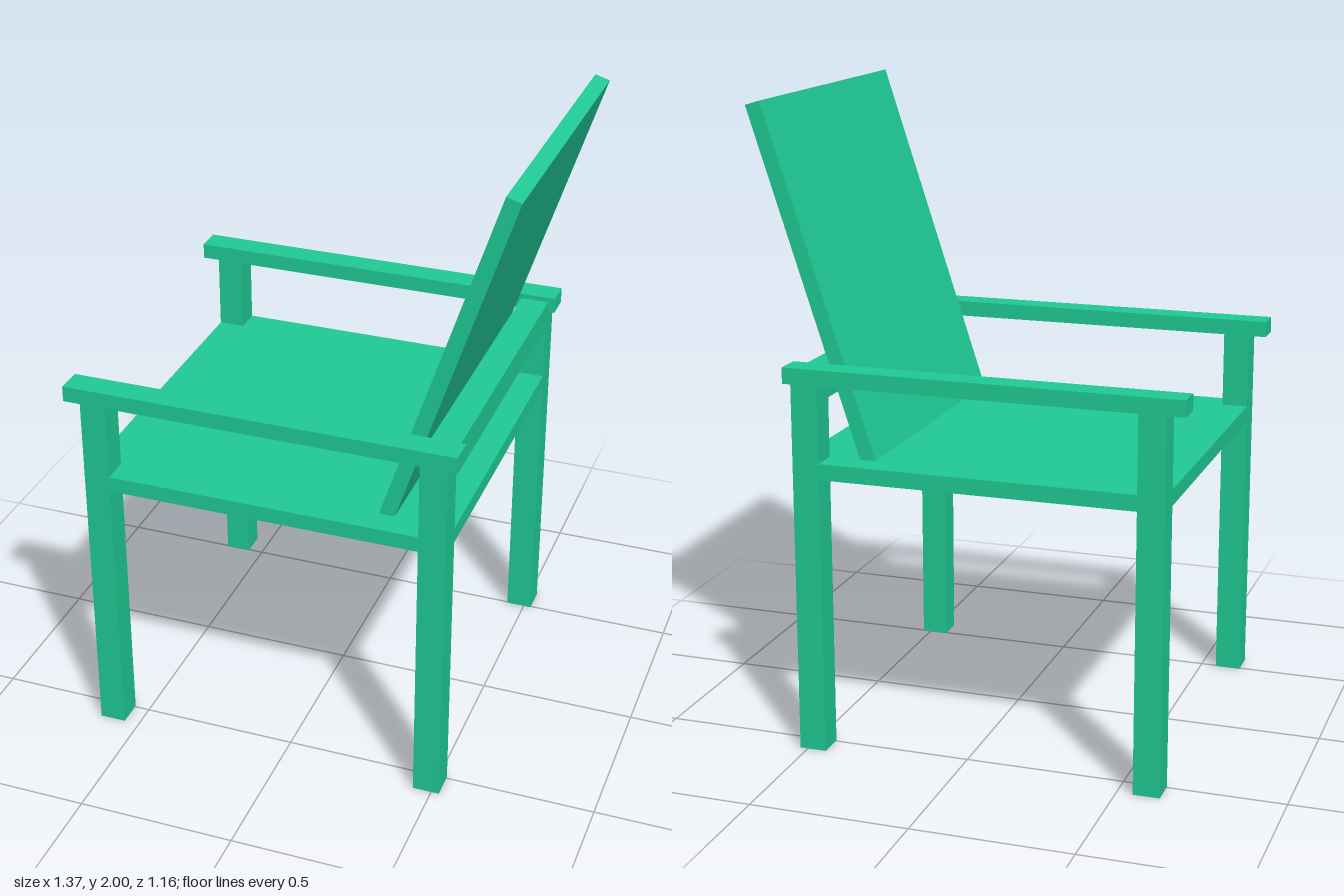
import * as THREE from 'three';

export function createModel() {
  const chair = new THREE.Group();
  chair.name = 'armchair';
  const material = new THREE.MeshStandardMaterial({ color: 0x20cc96, flatShading: true });

  function add(name, geometry) {
    const mesh = new THREE.Mesh(geometry, material);
    mesh.name = name;
    chair.add(mesh);
  }

  // Box given by its limits on each axis
  function slab(name, [x0, x1], [y0, y1], [z0, z1]) {
    const geometry = new THREE.BoxGeometry(x1 - x0, y1 - y0, z1 - z0);
    geometry.translate((x0 + x1) / 2, (y0 + y1) / 2, (z0 + z1) / 2);
    add(name, geometry);
  }

  const inner = 0.495, outer = 0.58;

  // Legs and armrests, mirrored across z
  for (const [side, z] of [['First', [inner, outer]], ['Second', [-outer, -inner]]]) {
    slab('seatFrontLeg' + side, [-0.633, -0.55], [0, 1.17], z);
    slab('seatBackLeg' + side, [0.44, 0.525], [0, 1.17], z);
    slab('armrest' + side, [-0.688, 0.552], [1.17, 1.22], z);
  }

  // Seat board, flush with the outside of the legs
  slab('seat', [-0.633, 0.525], [0.88, 0.93], [-outer, outer]);

  // Rail that carries the backrest between the rear legs
  slab('backRail', [0.44, 0.53], [1.117, 1.205], [-inner, inner]);

  // Leaning backrest, cut flat where it meets the seat
  const profile = new THREE.Shape([
    new THREE.Vector2(0.29, 0.93),
    new THREE.Vector2(0.34, 0.93),
    new THREE.Vector2(0.685, 1.986),
    new THREE.Vector2(0.639, 2.0),
  ]);
  const back = new THREE.ExtrudeGeometry(profile, { depth: 2 * inner, bevelEnabled: false });
  back.translate(0, 0, -inner);
  add('backrest', back);

  return chair;
}
